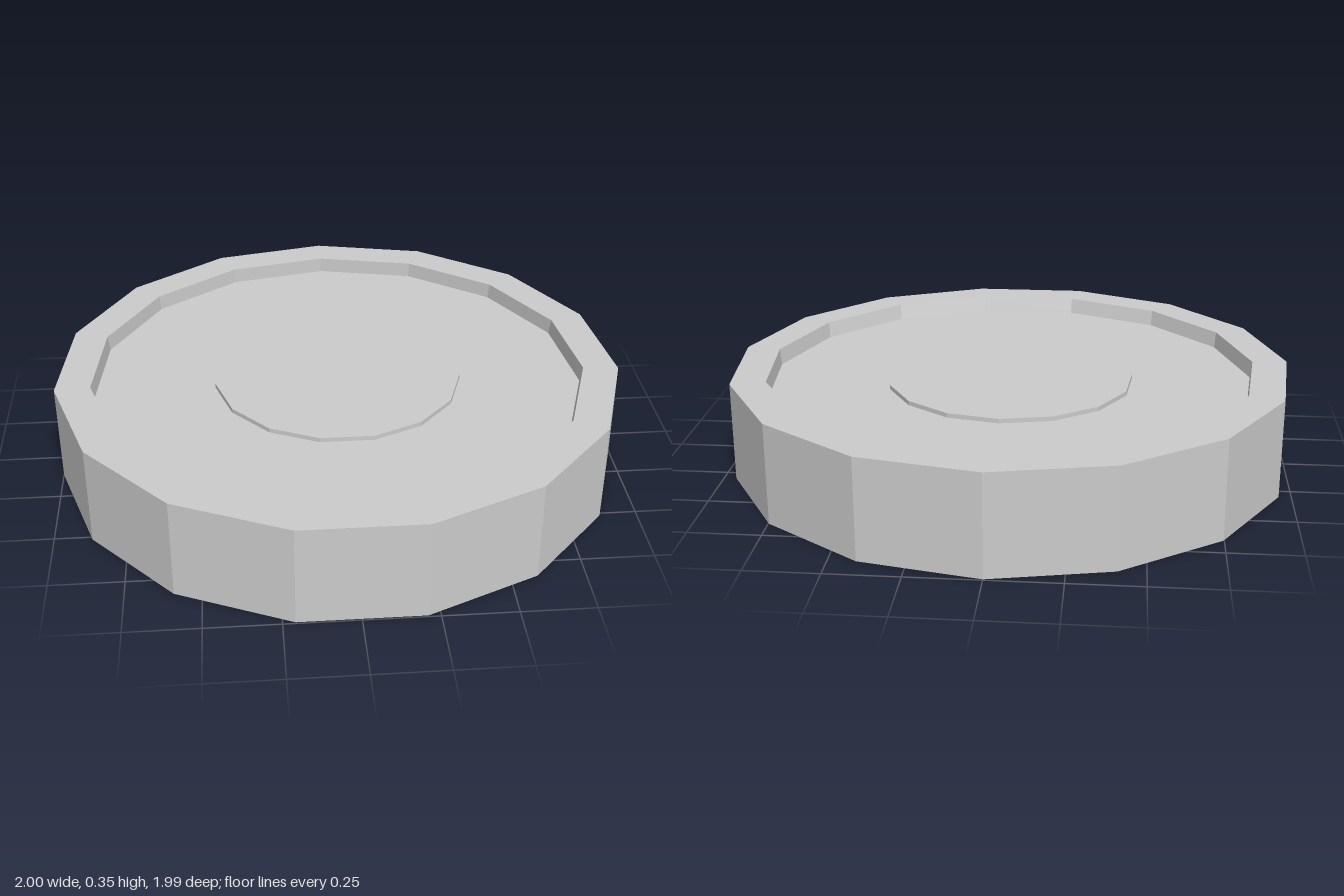
import * as THREE from 'three';

const SIDES = 15;
const HEIGHT = 0.355;
const RECESS = 0.057; // depth of the dished faces, top and bottom
const STEP = 0.016; // how far the hub stands proud of the plate
const OUTER = 1.0055, INNER = 0.88, FLOOR = 0.873;
const RIM_Z = 0.011, FLOOR_Z = 0.004; // small offsets of the fifteen-sided rings

export function createModel() {
  const material = new THREE.MeshStandardMaterial({ color: 0xcccccc, flatShading: true });
  const group = new THREE.Group();

  function add(name, geometry) {
    const mesh = new THREE.Mesh(geometry, material);
    mesh.name = name;
    group.add(mesh);
    return mesh;
  }

  // Fifteen-sided disc with one corner pointing to the back
  function disc(name, radius, height, z) {
    const geometry = new THREE.CylinderGeometry(radius, radius, height, SIDES, 1, false, Math.PI);
    add(name, geometry).position.set(0, HEIGHT / 2, z);
  }

  // Raised rim: outer wall, flat edges and the short walls down to the plate
  const profile = [
    [FLOOR, RECESS], [INNER, 0], [OUTER, 0],
    [OUTER, HEIGHT], [INNER, HEIGHT], [FLOOR, HEIGHT - RECESS],
  ].map(([r, y]) => new THREE.Vector2(r, y));
  const rim = new THREE.LatheGeometry(profile, SIDES, Math.PI);
  const p = rim.attributes.position;
  for (let i = 0; i < p.count; i++) {
    const onFloor = i % profile.length === 0 || i % profile.length === profile.length - 1;
    p.setZ(i, p.getZ(i) + (onFloor ? FLOOR_Z : RIM_Z));
  }
  add('rim', rim);

  // Recessed plate and the low hub showing on both faces
  const plateHeight = HEIGHT - 2 * RECESS;
  disc('plate', FLOOR, plateHeight, FLOOR_Z);
  disc('hub', 0.442, plateHeight + 2 * STEP, -0.003);

  return group;
}
